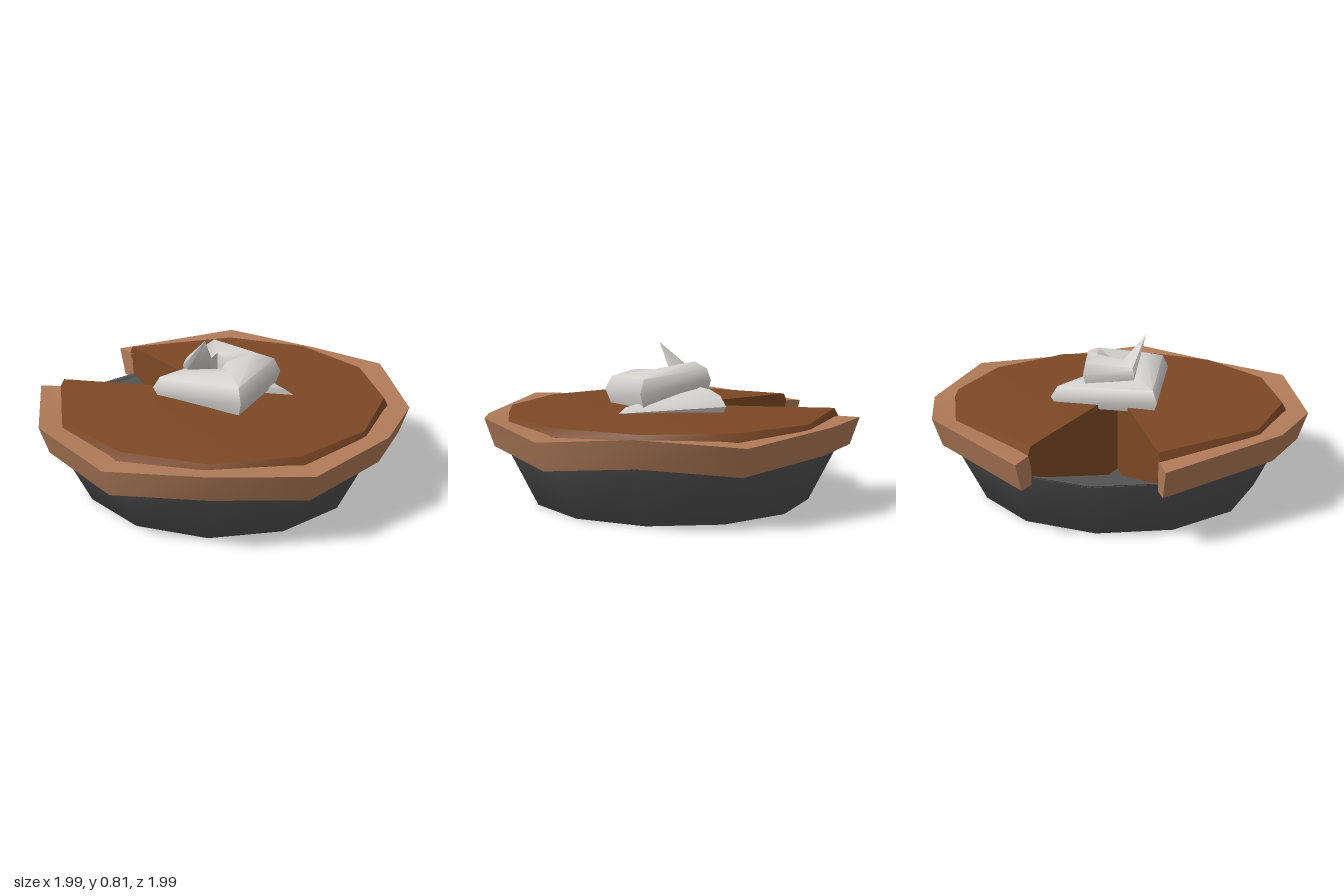
import * as THREE from 'three';
import { toCreasedNormals } from 'three/addons/utils/BufferGeometryUtils.js';

const material = (name, color) => {
  const m = new THREE.MeshStandardMaterial({ color });
  m.name = name;
  return m;
};

// Sweeps counter-clockwise [radius, height] profiles around the y axis.
// stations: [{ angle (degrees), profile }], in increasing angle.
function sweep(stations, capped, crease) {
  const pos = [];
  const rings = stations.map(({ angle, profile }) => {
    const a = THREE.MathUtils.degToRad(angle);
    return profile.map(([r, y]) => new THREE.Vector3(r * Math.cos(a), y, r * Math.sin(a)));
  });
  const tri = (a, b, c) => {
    const area = b.clone().sub(a).cross(c.clone().sub(a)).length();
    if (area > 1e-7) for (const p of [a, b, c]) pos.push(p.x, p.y, p.z);
  };
  const n = rings[0].length;
  for (let i = 0; i < rings.length - 1; i++) {
    for (let j = 0; j < n; j++) {
      const k = (j + 1) % n;
      tri(rings[i][j], rings[i][k], rings[i + 1][j]);
      tri(rings[i][k], rings[i + 1][k], rings[i + 1][j]);
    }
  }
  if (capped) {
    const first = rings[0], last = rings[rings.length - 1];
    for (let j = 1; j < n - 1; j++) {
      tri(first[0], first[j + 1], first[j]);
      tri(last[0], last[j], last[j + 1]);
    }
  }
  const geo = new THREE.BufferGeometry();
  geo.setAttribute('position', new THREE.Float32BufferAttribute(pos, 3));
  return toCreasedNormals(geo, crease);
}

export function createModel() {
  const group = new THREE.Group();
  const crustMat = material('baked crust', 0xb07b59);
  const fillingMat = material('brown filling', 0x7c4825);
  const panMat = material('dark metal', 0x545454);
  const creamMat = material('whipped cream', 0xd2d0cd);
  const add = (name, geo, mat) => {
    const mesh = new THREE.Mesh(geo, mat);
    mesh.name = name;
    group.add(mesh);
  };

  // Twelve-sided pan with a thin rim
  const full = Array.from({ length: 13 }, (_, i) => 7 + i * 30);
  const round = (profile) => full.map((angle) => ({ angle, profile }));
  add('panOutside', sweep(round([[0, 0], [0.73, 0], [0.88, 0.3], [0.87, 0.3], [0, 0.02]]), false, 1.2), panMat);
  add('panInside', sweep(round([[0, 0.03], [0.87, 0.295], [0.88, 0.305], [0.86, 0.305], [0.6, 0.05], [0, 0.05]]), false, 0.65), panMat);

  // Filling and crust leave out one slice at the back
  const cut = [-93, -53, -23, 7, 37, 67, 96, 126, 156, 186, 226];
  add('filling', sweep(cut.map((angle) => ({
    angle,
    profile: [[0, 0.055], [0.59, 0.055], [0.85, 0.31], [0.885, 0.425], [0.865, 0.465], [0, 0.485]],
  })), true, 0.6), fillingMat);

  // Crust edge waves up and down at alternate corners
  add('crust', sweep(cut.map((angle, i) => {
    const lift = i % 2 ? 0.05 : 0;
    return { angle, profile: [[0.86, 0.27 + lift], [0.95, 0.27 + lift], [1, 0.415 + lift], [0.865, 0.425 + lift * 0.3]] };
  }), true, 0.7), crustMat);

  // Cream swirl from the top down: angle, inner radius, outer radius, bottom, top
  const swirl = [
    [-508, 0.04, 0.19, 0.58, 0.69],
    [-429, 0.04, 0.225, 0.56, 0.72],
    [-334, 0.04, 0.325, 0.50, 0.69],
    [-254, 0.04, 0.375, 0.48, 0.665],
    [-156, 0.04, 0.35, 0.46, 0.61],
    [-52, 0.04, 0.37, 0.45, 0.59],
    [40, 0.04, 0.39, 0.45, 0.52],
  ].map(([angle, ri, ro, yb, yt]) => {
    const y = (t) => yb + (yt - yb) * t;
    const r = (t) => ri + (ro - ri) * t;
    return { angle, profile: [[ri, yb], [r(0.9), yb], [ro, y(0.4)], [r(0.88), y(0.78)], [r(0.5), yt], [ri, y(0.75)]] };
  });
  // Pointed tip
  const tip = { angle: -568, profile: Array(6).fill([0.148, 0.805]) };
  add('creamSwirl', sweep([tip, ...swirl], true, 0.8), creamMat);

  return group;
}
